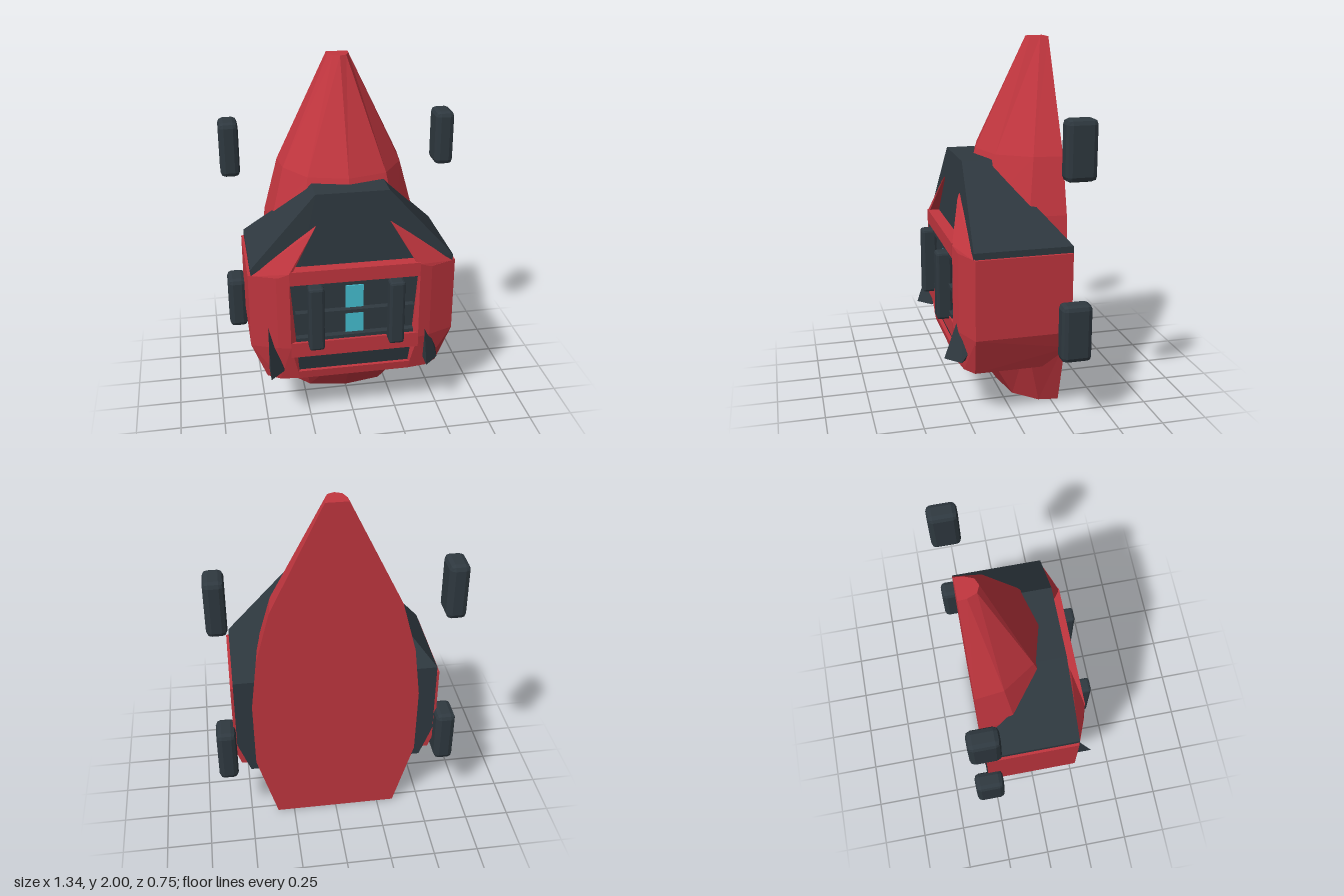
import * as THREE from 'three';
import { ConvexGeometry } from 'three/addons/geometries/ConvexGeometry.js';
import { RoundedBoxGeometry } from 'three/addons/geometries/RoundedBoxGeometry.js';

const paint = (name, color) => {
  const m = new THREE.MeshStandardMaterial({ color });
  m.name = name;
  return m;
};

export function createModel() {
  const red = paint('red', 0xc2363f);
  const dark = paint('charcoal', 0x2f3940);
  const cyan = paint('cyan', 0x45bfd2);
  const grey = paint('grey', 0x9aa3a8);
  const group = new THREE.Group();

  const add = (name, geometry, material) => {
    const mesh = new THREE.Mesh(geometry, material);
    mesh.name = name;
    group.add(mesh);
    return mesh;
  };
  // faceted solid around a few corner points
  const solid = (name, pts, material) =>
    add(name, new ConvexGeometry(pts.map(p => new THREE.Vector3(...p))), material);
  const box = (name, x0, x1, y0, y1, z0, z1, material) => {
    const mesh = add(name, new THREE.BoxGeometry(x1 - x0, y1 - y0, z1 - z0), material);
    mesh.position.set((x0 + x1) / 2, (y0 + y1) / 2, (z0 + z1) / 2);
    return mesh;
  };
  const chamferBox = (name, w, h, d, r, pos, material) => {
    const g = new RoundedBoxGeometry(w, h, d, 1, r);
    g.computeVertexNormals();
    add(name, g, material).position.set(...pos);
  };
  // points repeated on both sides of the centre
  const both = pts => pts.flatMap(([x, y, z]) => [[x, y, z], [-x, y, z]]);

  // tapering hull with a flat back: [y, half width, front z]
  const back = -0.292;
  const levels = [[0, 0.345, -0.02], [0.4, 0.46, 0.24], [0.8, 0.465, 0.24], [1.1, 0.43, 0.2], [1.4, 0.35, 0.1], [2, 0.06, -0.18]];
  const half = [[1, 0], [0.95, 0.4], [0.62, 0.85], [0, 1]];
  const section = [...half, ...half.slice(0, 3).reverse().map(([x, z]) => [-x, z])];
  const n = section.length;
  const pos = [], index = [];
  for (const [y, w, f] of levels)
    for (const [x, z] of section) pos.push(x * w, y, back + z * (f - back));
  for (let i = 0; i < levels.length - 1; i++)
    for (let j = 0; j < n; j++) {
      const a = i * n + j, b = i * n + (j + 1) % n;
      index.push(a, a + n, b, b, a + n, b + n);
    }
  const top = (levels.length - 1) * n;
  for (let j = 1; j < n - 1; j++) {
    index.push(0, j, j + 1);
    index.push(top, top + j + 1, top + j);
  }
  const hull = new THREE.BufferGeometry();
  hull.setAttribute('position', new THREE.Float32BufferAttribute(pos, 3));
  hull.setIndex(index);
  const flatHull = hull.toNonIndexed();
  flatHull.computeVertexNormals();
  add('hull', flatHull, red);

  // dark collar on top and the core it continues into
  solid('collar', both([
    [0.2, 1.37, 0.22], [0.2, 1.37, 0.06], [0.2, 1.33, 0.06],
    [0.56, 0.97, 0.24], [0.56, 0.97, -0.29], [0.56, 0.93, 0.24], [0.56, 0.93, -0.29],
    [0.3, 0.93, 0.25],
  ]), dark);
  solid('core', both([
    [0.56, 0.94, 0.2], [0.56, 0.94, -0.29], [0.56, 0.54, 0.2], [0.56, 0.54, -0.29],
    [0.49, 0.35, 0.2], [0.49, 0.35, -0.29],
  ]), dark);

  for (const s of [1, -1]) {
    const side = s > 0 ? 'left' : 'right';
    const m = pts => pts.map(([x, y, z]) => [s * x, y, z]);
    // armoured side shell
    const plan = [[0.575, -0.285], [0.575, 0.235], [0.43, 0.292], [0.36, 0.31], [0.36, -0.285]];
    solid(side + 'Shell', m([
      ...plan.map(([x, z]) => [x, 0.935, z]),
      ...plan.map(([x, z]) => [x, 0.5, z]),
      [0.54, 0.4, -0.285], [0.36, 0.4, -0.285],
      [0.49, 0.28, -0.15], [0.49, 0.28, 0.22], [0.42, 0.28, 0.265], [0.31, 0.28, 0.28], [0.31, 0.28, -0.15],
    ]), red);
    // pointed brow rising over the collar
    solid(side + 'Brow', m([
      [0.575, 0.93, 0.235], [0.48, 0.98, 0.243], [0.2, 1.2, 0.236], [0.22, 1.17, 0.25],
      [0.36, 0.96, 0.31], [0.36, 0.93, 0.31], [0.43, 0.93, 0.292], [0.36, 0.93, 0.2], [0.25, 1.15, 0.2],
    ]), red);
    // upright post over the window
    chamferBox(side + 'Post', 0.085, 0.38, 0.085, 0.014, [s * 0.222, 0.7, 0.333], dark);
    // free-standing side pods
    for (const [label, y] of [['Upper', 1.485], ['Lower', 0.52]])
      chamferBox(side + label + 'Pod', 0.108, 0.315, 0.165, 0.028, [s * 0.617, y, -0.288], dark);
  }

  // window recess, frame and rungs
  box('windowPanel', -0.36, 0.36, 0.52, 0.9, 0.1, 0.275, dark);
  box('upperFrame', -0.36, 0.36, 0.89, 0.97, 0.2, 0.312, red);
  box('lowerFrame', -0.36, 0.36, 0.44, 0.53, 0.1, 0.312, red);
  for (const y of [0.88, 0.705, 0.55])
    box('rung', -0.33, 0.33, y - 0.01, y + 0.01, 0.27, 0.312, dark);
  box('lightStrip', -0.05, 0.05, 0.56, 0.85, 0.276, 0.284, cyan);
  box('lightCap', -0.045, 0.045, 0.862, 0.868, 0.276, 0.284, grey);

  // sloping chin below the window
  solid('chinPanel', both([
    [0.36, 0.45, 0.29], [0.36, 0.45, 0.1], [0.31, 0.32, 0.265], [0.31, 0.32, 0.1],
  ]), dark);
  solid('chinBar', both([
    [0.325, 0.33, 0.288], [0.325, 0.33, 0], [0.31, 0.28, 0.28], [0.31, 0.28, -0.15],
  ]), red);

  // two fins of the same hand
  for (const x of [-0.48, 0.4])
    solid('fin', [
      [x, 0.65, 0.262], [x, 0.345, 0.368], [x, 0.345, 0.22], [x + 0.08, 0.345, 0.29], [x + 0.08, 0.4, 0.25],
    ], dark);

  return group;
}
